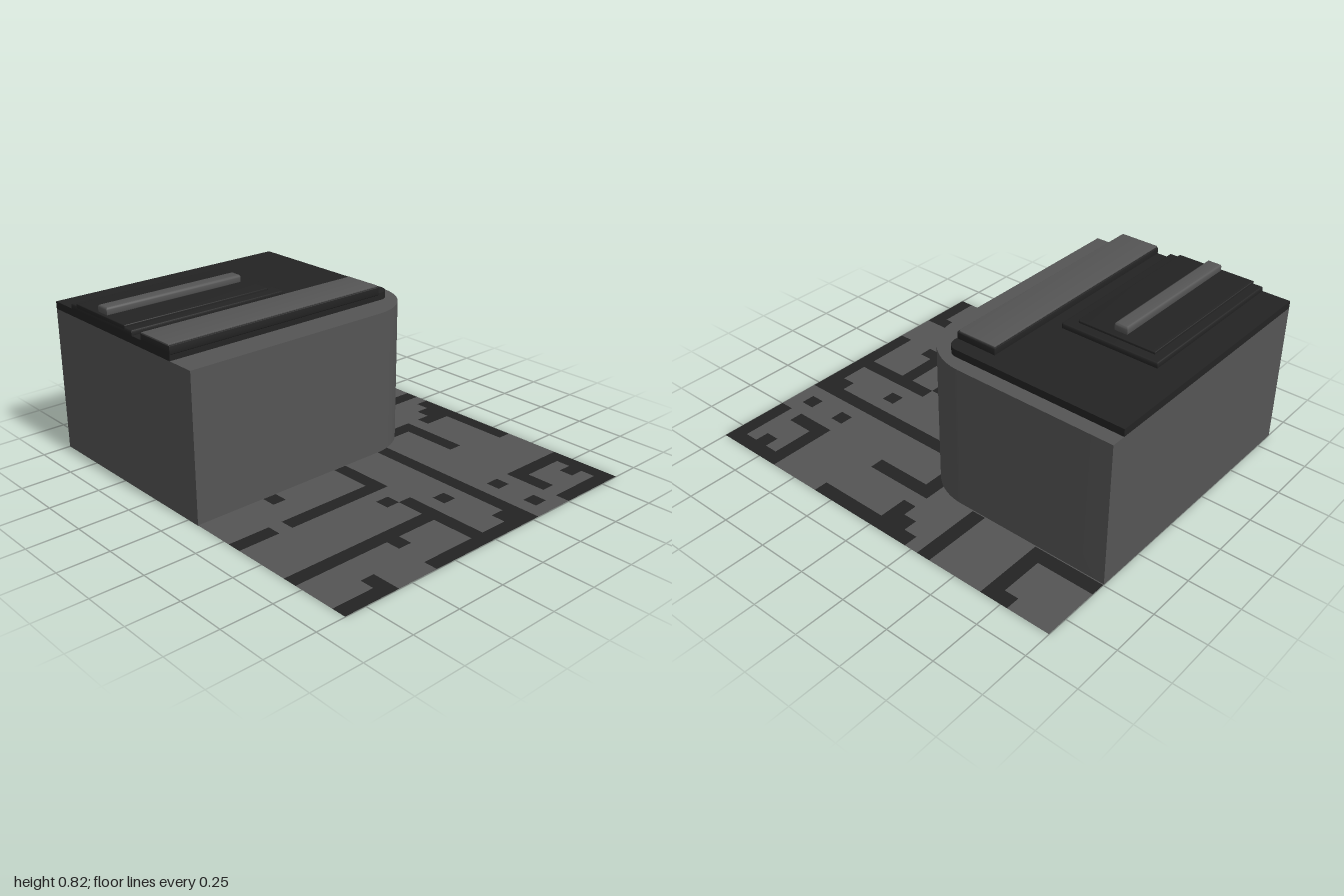
import * as THREE from 'three';
import { toCreasedNormals } from 'three/addons/utils/BufferGeometryUtils.js';

const CELL = 1 / 14, COLS = 24, ROWS = 28;
const LEFT = -COLS * CELL / 2;

// Dark floor lines as [column, row, width, height] in floor cells
const LINES = [
  [19, 0, 1, 5], [19, 4, 5, 1], [23, 3, 1, 1], [19, 9, 5, 1],
  [23, 11, 1, 8], [22, 12, 1, 2], [21, 13, 1, 1], [17, 13, 3, 1], [19, 13, 1, 5],
  [19, 23, 5, 1], [19, 23, 1, 3], [19, 27, 5, 1], [23, 23, 1, 5], [22, 25, 1, 1],
  [17, 23, 1, 1], [17, 26, 1, 1], [15, 14, 1, 14], [14, 26, 1, 1], [7, 27, 9, 1],
  [13, 22, 1, 1], [10, 20, 1, 1], [11, 21, 1, 7], [11, 15, 1, 4],
  [0, 18, 3, 1], [4, 18, 8, 1], [0, 23, 12, 1], [7, 24, 1, 1],
  [0, 27, 4, 1], [3, 26, 1, 1], [5, 15, 1, 1],
];

export function createModel() {
  const group = new THREE.Group();
  const grey = new THREE.MeshStandardMaterial({ color: 0x555555 });
  grey.name = 'grey';
  const black = new THREE.MeshStandardMaterial({ color: 0x232323 });
  black.name = 'black';
  const floorGrey = new THREE.MeshStandardMaterial({ color: 0x555555, side: THREE.DoubleSide });
  floorGrey.name = 'floorGrey';
  const floorBlack = new THREE.MeshStandardMaterial({ color: 0x232323, side: THREE.DoubleSide });
  floorBlack.name = 'floorBlack';

  function add(name, geometry, material) {
    const mesh = new THREE.Mesh(geometry, material);
    mesh.name = name;
    group.add(mesh);
  }

  // Upright slab; radius rounds the front corner at +x, bevel softens all edges
  function slab(name, material, [x0, x1], [y0, y1], [z0, z1], radius, bevel = 0) {
    const s = new THREE.Shape();
    s.moveTo(x0, -z1);
    s.lineTo(x1 - radius, -z1);
    if (radius) s.absarc(x1 - radius, -z1 + radius, radius, -Math.PI / 2, 0, false);
    s.lineTo(x1, -z0);
    s.lineTo(x0, -z0);
    s.closePath();
    const g = new THREE.ExtrudeGeometry(s, {
      depth: y1 - y0 - 2 * bevel, curveSegments: 16,
      bevelEnabled: bevel > 0, bevelSize: bevel, bevelThickness: bevel,
      bevelOffset: -bevel, bevelSegments: 3,
    });
    g.rotateX(-Math.PI / 2);
    g.translate(0, y0 + bevel, 0);
    add(name, toCreasedNormals(g, 0.6), material);
  }

  // Body and its dark cap
  slab('body', grey, [LEFT, 0.495], [0, 0.714], [-1, 0.07], 0.28);
  slab('cap', black, [LEFT, 0.425], [0.714, 0.75], [-1, -0.075], 0.06);

  // Front rail with a pale top
  slab('frontRail', black, [LEFT, 0.352], [0.74, 0.782], [-0.287, -0.073], 0.012, 0.004);
  slab('railTop', grey, [LEFT, 0.346], [0.779, 0.788], [-0.281, -0.079], 0.012, 0.003);

  // Stepped panel with a bar on it
  slab('panelBase', black, [LEFT, -0.005], [0.74, 0.774], [-0.858, -0.358], 0.012, 0.008);
  slab('panelTop', black, [LEFT, -0.055], [0.76, 0.785], [-0.81, -0.41], 0.012, 0.004);
  slab('panelBar', grey, [-0.843, -0.092], [0.775, 0.82], [-0.644, -0.572], 0.012, 0.012);

  // Floor sheet: cells sorted into pale tiles and dark lines
  const floor = new THREE.PlaneGeometry(COLS * CELL, ROWS * CELL, COLS, ROWS);
  floor.rotateX(-Math.PI / 2);
  floor.translate(0, 0.002, 0);
  const source = floor.index.array;
  const cells = [[], []];
  for (let row = 0; row < ROWS; row++) {
    for (let col = 0; col < COLS; col++) {
      const dark = LINES.some(([c, r, w, h]) => col >= c && col < c + w && row >= r && row < r + h);
      const start = (row * COLS + col) * 6;
      cells[dark ? 1 : 0].push(...source.slice(start, start + 6));
    }
  }
  floor.setIndex([...cells[0], ...cells[1]]);
  floor.addGroup(0, cells[0].length, 0);
  floor.addGroup(cells[0].length, cells[1].length, 1);
  add('floor', floor, [floorGrey, floorBlack]);

  return group;
}
